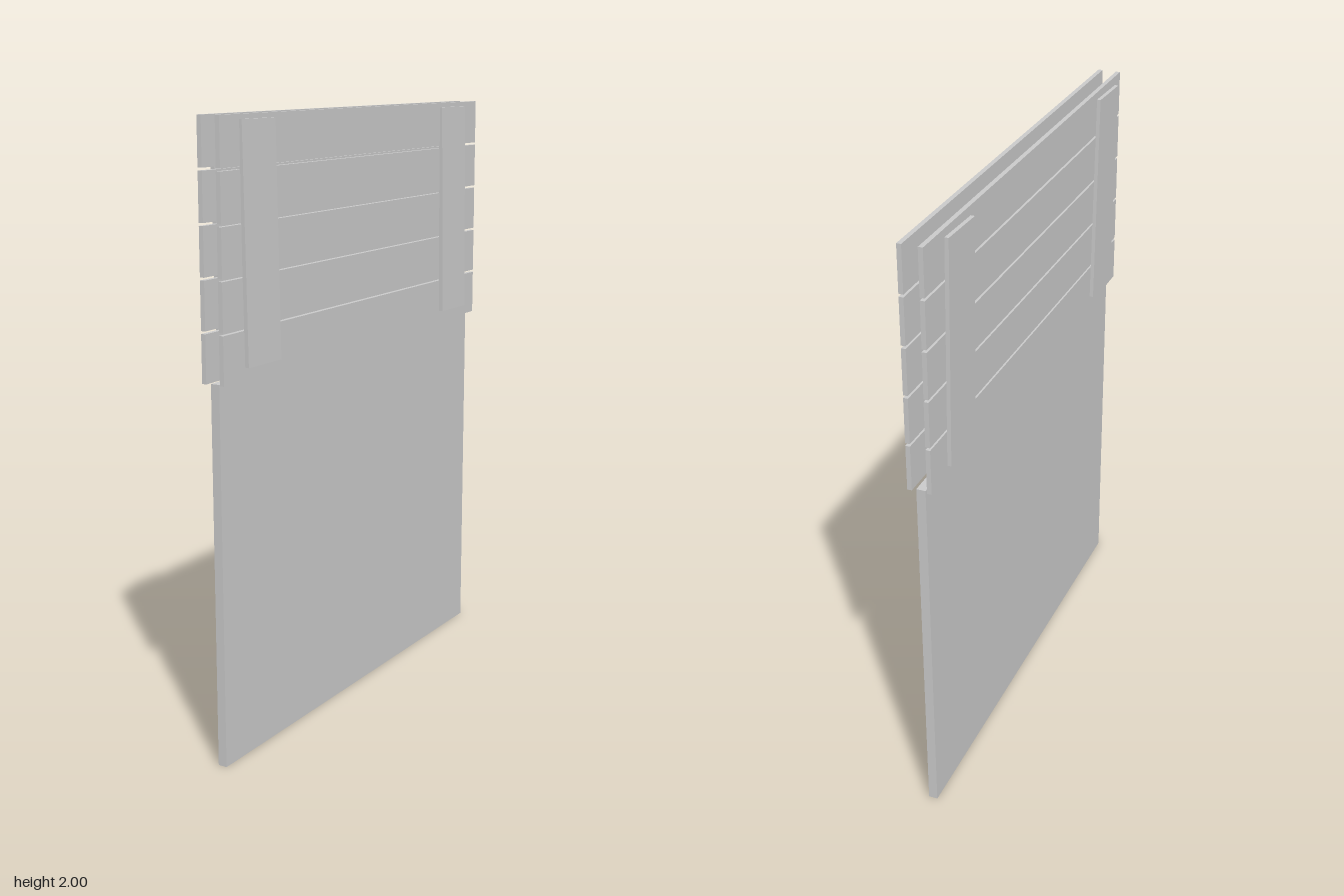
import * as THREE from 'three';

export function createModel() {
  const group = new THREE.Group();
  const material = new THREE.MeshStandardMaterial({ color: 0xcccccc, flatShading: true });
  const midX = 0.002;

  function add(name, geometry, x, y, z) {
    const mesh = new THREE.Mesh(geometry, material);
    mesh.name = name;
    mesh.position.set(x, y, z);
    group.add(mesh);
  }

  // Thin upright board below the planks
  add('lowerPanel', new THREE.BoxGeometry(0.03, 1.217, 1.6), midX, 0.6085, 0);

  // Two facing rows of five planks with narrow gaps
  const plankHeight = 0.15, pitch = 0.1585;
  const plank = new THREE.BoxGeometry(0.015, plankHeight, 1.62);
  for (const side of [-1, 1]) {
    for (let i = 0; i < 5; i++) {
      add('plank', plank, midX + side * 0.032, 1.216 + plankHeight / 2 + i * pitch, 0);
    }
  }

  // Roughly fitted battens: each leans and twists slightly, with level ends
  const batten = new THREE.BoxGeometry(0.013, 0.73, 0.168);
  const p = batten.attributes.position;
  for (let i = 0; i < p.count; i++) {
    const x = p.getX(i), y = p.getY(i), z = p.getZ(i);
    p.setXYZ(i, x - 0.01 * y - 0.03 * z, y, z + 0.01 * y);
  }
  batten.computeVertexNormals();
  for (const x of [-0.053, 0.05]) {
    for (const z of [-0.615, 0.624]) add('batten', batten, x, 1.62, z);
  }

  return group;
}
